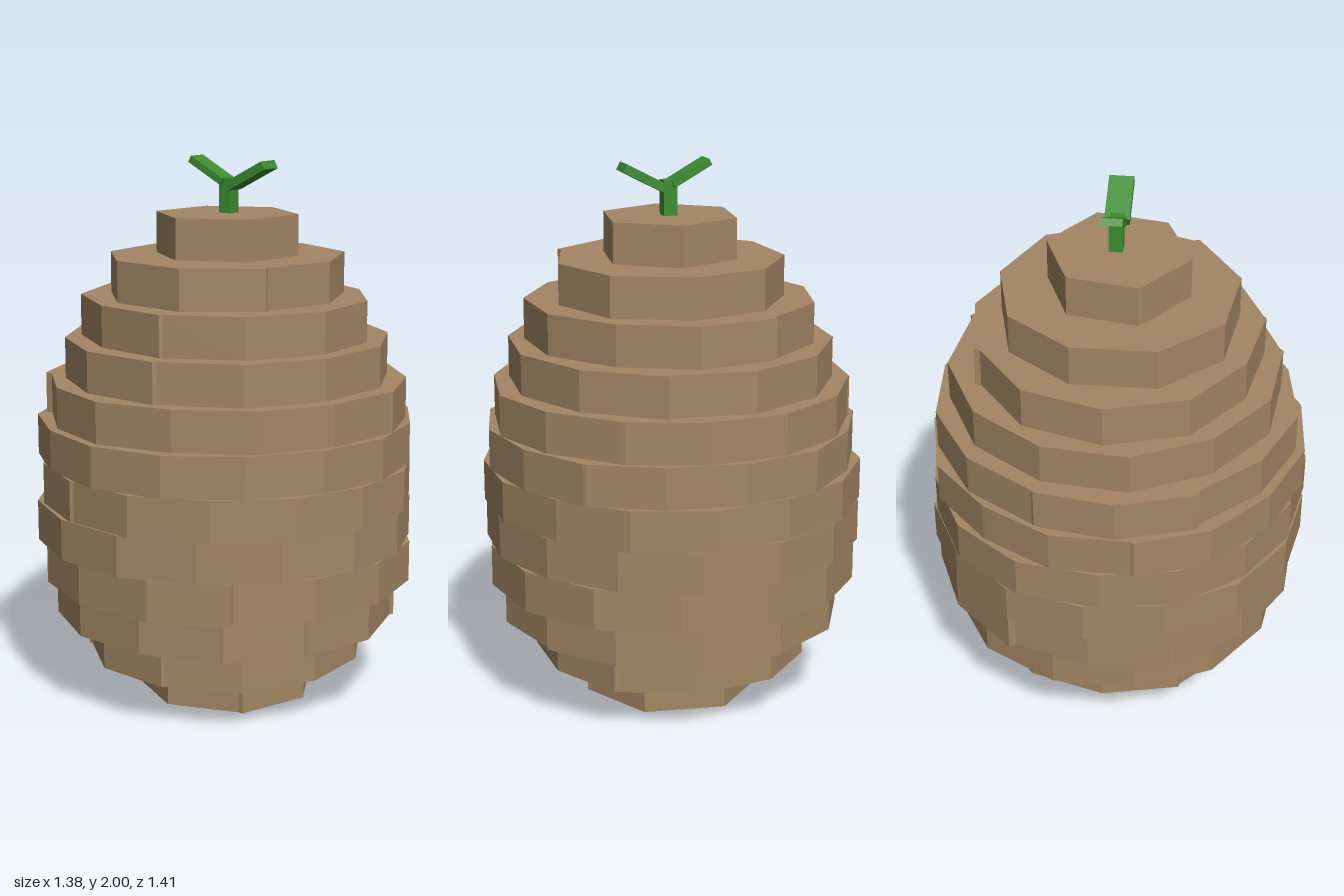
import * as THREE from 'three';

const LAYER_HEIGHT = 0.15;

// One row per layer from the ground up: radius, number of planks, first corner angle (degrees from the front)
const LAYERS = [
  [0.335, 7, -9], [0.52, 11, 8], [0.63, 13, 5], [0.68, 14, 10],
  [0.697, 15, 2], [0.697, 15, 6], [0.69, 15, 16], [0.66, 14, 18],
  [0.605, 12, 10], [0.525, 11, 9], [0.43, 9, 13], [0.262, 6, 52],
];

function seededRandom(seed) {
  return () => {
    seed = (seed * 16807) % 2147483647;
    return seed / 2147483647;
  };
}

// Ring of flat planks whose ends lap over each other in small steps
function layerGeometry(radius, sides, startDegrees, random) {
  const points = [];
  const step = (Math.PI * 2) / sides;
  const start = THREE.MathUtils.degToRad(startDegrees);
  const lap = 0.012 / radius;
  const addCorner = (angle) => {
    const r = radius + (random() - 0.5) * 0.026;
    points.push(new THREE.Vector2(r * Math.sin(angle), -r * Math.cos(angle)));
  };
  for (let i = 0; i < sides; i++) {
    addCorner(start + i * step);
    // some joints show a notch where two planks meet
    if (random() < 0.4) addCorner(start + i * step + lap);
  }
  const geometry = new THREE.ExtrudeGeometry(new THREE.Shape(points), {
    depth: LAYER_HEIGHT, bevelEnabled: false,
  });
  return geometry.rotateX(-Math.PI / 2);
}

export function createModel() {
  const model = new THREE.Group();
  model.name = 'layeredHive';

  const brown = new THREE.MeshStandardMaterial({ color: 0xa38664 });
  brown.name = 'woodBrown';
  const green = new THREE.MeshStandardMaterial({ color: 0x3c8c30 });
  green.name = 'leafGreen';

  // Stacked body
  const body = new THREE.Group();
  body.name = 'body';
  const random = seededRandom(77);
  LAYERS.forEach(([radius, sides, start], i) => {
    const layer = new THREE.Mesh(layerGeometry(radius, sides, start, random), brown);
    layer.name = `layer${i + 1}`;
    layer.position.y = i * LAYER_HEIGHT;
    body.add(layer);
  });
  model.add(body);

  // Stem and two upward-leaning leaves
  const addBox = (name, size, position, tilt = 0) => {
    const mesh = new THREE.Mesh(new THREE.BoxGeometry(...size), green);
    mesh.name = name;
    mesh.position.set(...position);
    mesh.rotation.z = tilt;
    model.add(mesh);
  };
  addBox('stem', [0.05, 0.13, 0.05], [0.007, 1.862, -0.005]);
  addBox('leafLeft', [0.18, 0.032, 0.088], [0.103, 1.938, -0.005], 0.48);
  addBox('leafRight', [0.16, 0.026, 0.075], [-0.07, 1.951, -0.005], -0.5);

  return model;
}
